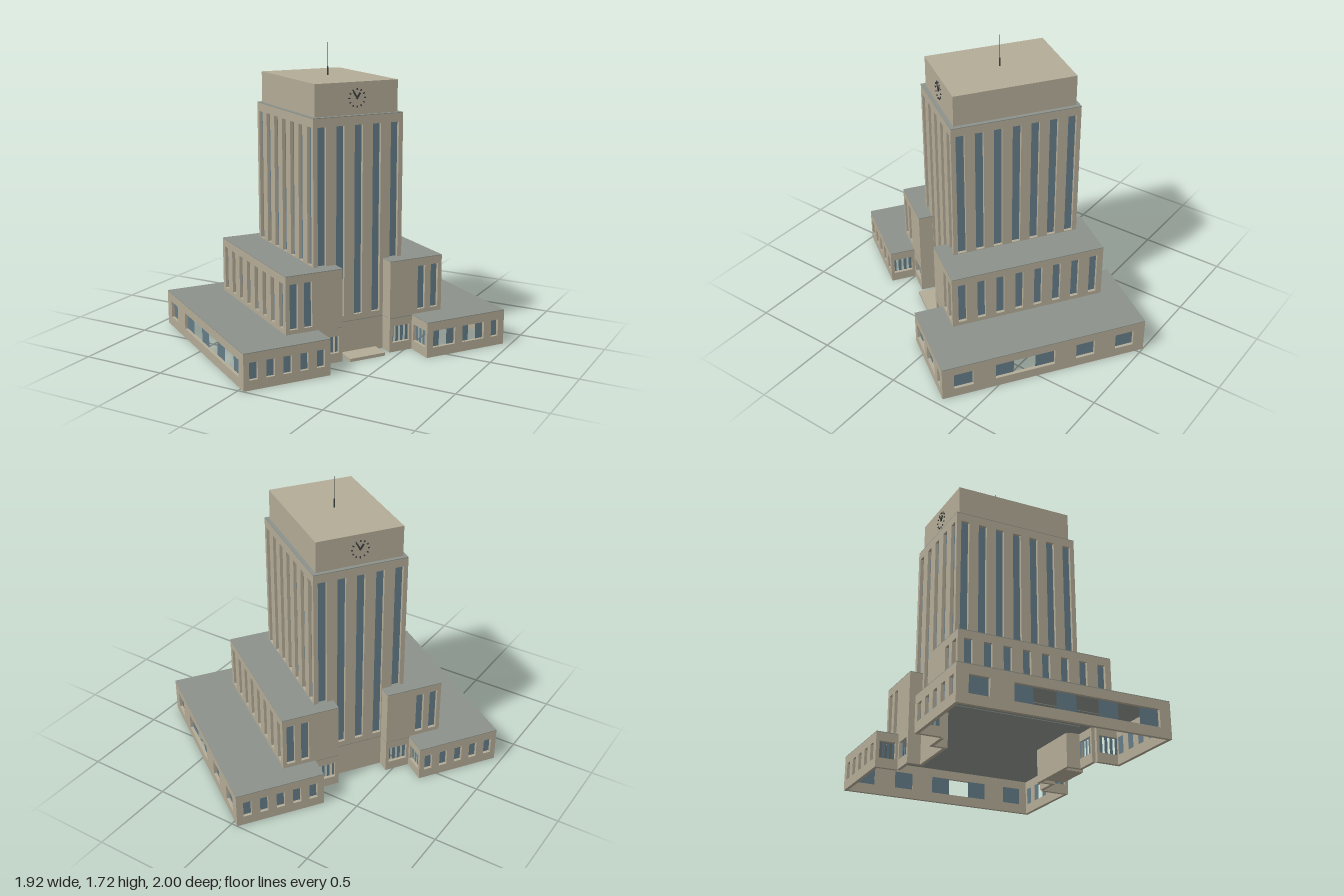
import * as THREE from 'three';

const mat = (name, color, side = THREE.FrontSide) => {
  const m = new THREE.MeshStandardMaterial({ color, side });
  m.name = name;
  return m;
};

export function createModel() {
  const stone = mat('stone', 0xb3ab97, THREE.DoubleSide);
  const roofGrey = mat('roofGrey', 0x8b928a);
  const glass = mat('glass', 0x647c88, THREE.DoubleSide);
  const dark = mat('darkMetal', 0x3b3e3f);

  const model = new THREE.Group();
  model.name = 'towerBuilding';
  // the whole block stands turned on its plot
  const plan = new THREE.Group();
  plan.name = 'turnedPlan';
  plan.rotation.y = -THREE.MathUtils.degToRad(34.5);
  model.add(plan);

  const T = 0.02; // wall thickness and window recess
  const TURN = { '+z': 0, '+x': Math.PI / 2, '-z': Math.PI, '-x': -Math.PI / 2 };

  const add = (parent, name, geo, material, x = 0, y = 0, z = 0) => {
    const m = new THREE.Mesh(geo, material);
    m.name = name;
    m.position.set(x, y, z);
    parent.add(m);
    return m;
  };

  const box = (name, x0, x1, y0, y1, z0, z1, material) =>
    add(plan, name, new THREE.BoxGeometry(x1 - x0, y1 - y0, z1 - z0), material,
      (x0 + x1) / 2, (y0 + y1) / 2, (z0 + z1) / 2);

  const spread = (mid, n, step) => Array.from({ length: n }, (_, i) => mid + (i - (n - 1) / 2) * step);

  // Wall facing `side`, spanning lo..hi, standing at depth `at`.
  // win: centres c, width w, heights y0..y1; open: indices whose pier to the next window is left out
  function wall(name, side, lo, hi, at, y0, y1, win) {
    const g = new THREE.Group();
    g.name = name;
    const flip = side === '+x' || side === '-z';
    const start = flip ? hi : lo;
    g.rotation.y = TURN[side];
    if (side[1] === 'z') g.position.set(start, 0, at);
    else g.position.set(at, 0, start);
    const rect = (P, a, b, c, d) =>
      new P([[a, c], [b, c], [b, d], [a, d]].map(p => new THREE.Vector2(...p)));
    const shape = rect(THREE.Shape, 0, hi - lo, y0, y1);
    if (win) {
      const { c, w, open = [] } = win;
      let from = c[0] - w / 2;
      c.forEach((p, i) => {
        const u = Math.abs(p - start);
        add(g, 'windowPane', new THREE.PlaneGeometry(w, win.y1 - win.y0), glass, u, (win.y0 + win.y1) / 2, -T * 0.9);
        if (open.includes(i)) return;
        const ends = [Math.abs(from - start), Math.abs(p + w / 2 - start)].sort((a, b) => a - b);
        shape.holes.push(rect(THREE.Path, ends[0], ends[1], win.y0, win.y1));
        if (i + 1 < c.length) from = c[i + 1] - w / 2;
      });
    }
    const geo = new THREE.ExtrudeGeometry(shape, { depth: T, bevelEnabled: false });
    geo.translate(0, 0, -T);
    add(g, 'wallFace', geo, stone);
    plan.add(g);
  }

  const H1 = 0.206, H2 = 0.533, H3 = 1.352, H4 = 1.53, SLAB = 0.004;
  const mx0 = -0.467, mx1 = 0.443;                            // middle tier, x
  const tx0 = -0.391, tx1 = 0.36, tz0 = -0.261, tz1 = 0.289;  // tower
  const low = { y0: 0.055, y1: 0.152 };
  const midWin = { w: 0.048, y0: 0.23, y1: 0.485 };

  // front and back halves: low wing and middle tier
  const halves = [
    { s: 1, x0: -0.61, x1: 0.593, wi: 0.303, wo: 0.803, mi: 0.155, mo: 0.495, gaps: [1, 2, 3], endGaps: [] },
    { s: -1, x0: -0.597, x1: 0.611, wi: -0.288, wo: -0.803, mi: -0.145, mo: -0.48, gaps: [2], endGaps: [1, 3] },
  ];
  for (const h of halves) {
    const out = h.s > 0 ? '+z' : '-z', back = h.s > 0 ? '-z' : '+z';
    const sort = (a, b) => [Math.min(a, b), Math.max(a, b)];
    const [w0, w1] = sort(h.wi, h.wo), [m0, m1] = sort(h.mi, h.mo), [g0, g1] = sort(h.mi, h.wi);

    // low wing
    wall('wingLongWall', out, h.x0, h.x1, h.wo, 0, H1 - SLAB,
      { c: spread((h.x0 + h.x1) / 2, 5, 0.24), w: 0.112, ...low, open: h.gaps });
    for (const side of ['+x', '-x'])
      wall('wingEndWall', side, w0, w1, side === '+x' ? h.x1 : h.x0, 0, H1 - SLAB,
        { c: spread((w0 + w1) / 2, 5, 0.097), w: 0.048, ...low, open: side === '+x' ? h.endGaps : [] });
    const slits = (a, b) => ({ c: spread((a + b) / 2, 4, (b - a) / 4.6), w: (b - a) / 8, ...low, open: [0, 1, 2] });
    wall('wingReturnWall', back, mx1, h.x1, h.wi, 0, H1 - SLAB, slits(mx1, h.x1));
    wall('wingReturnWall', back, h.x0, mx0, h.wi, 0, H1 - SLAB, slits(h.x0, mx0));
    box('wingRoof', h.x0, h.x1, H1 - SLAB, H1, w0, w1, roofGrey);

    // ground floor under the middle tier
    wall('lobbySideWall', '+x', g0, g1, mx1, 0, H1, slits(g0, g1));
    wall('lobbySideWall', '-x', g0, g1, mx0, 0, H1, slits(g0, g1));
    box('lobbyCeiling', mx0, mx1, H1 - 2 * SLAB, H1 - SLAB, m0, m1, roofGrey);

    // middle tier
    wall('middleLongWall', out, mx0, mx1, h.mo, H1, H2 - SLAB,
      { c: spread((mx0 + mx1) / 2, 8, 0.113), ...midWin });
    const endC = [h.mo - h.s * 0.048, h.mo - h.s * 0.133].sort((a, b) => a - b);
    wall('middleEndWall', '+x', m0, m1, mx1, H1, H2 - SLAB, { c: endC, ...midWin });
    wall('middleEndWall', '-x', m0, m1, mx0, H1, H2 - SLAB, { c: endC, ...midWin });
    wall('middleReturnWall', back, tx1 - T, mx1, h.mi, 0, H2 - SLAB);
    wall('middleReturnWall', back, mx0, tx0 + T, h.mi, 0, H2 - SLAB);
    box('middleRoof', mx0, mx1, H2 - SLAB, H2, m0, m1, roofGrey);

    // tower long face
    wall('towerLongWall', out, tx0, tx1, h.s > 0 ? tz1 : tz0, H1, H3 - SLAB,
      { c: spread((tx0 + tx1) / 2, 7, 0.108), w: 0.05, y0: H2 + 0.004, y1: 1.3 });
  }

  // tower end faces, with plain entrance walls below
  for (const [side, x] of [['+x', tx1], ['-x', tx0]]) {
    wall('towerEndWall', side, tz0, tz1, x, H1, H3 - SLAB,
      { c: spread((tz0 + tz1) / 2, 5, 0.112), w: 0.05, y0: 0.23, y1: 1.3 });
    wall('entranceWall', side, -0.145, 0.155, x, 0, H1);
  }
  box('towerCeiling', tx0, tx1, H1 - 3 * SLAB, H1 - 2 * SLAB, tz0, tz1, roofGrey);
  box('towerRoof', tx0, tx1, H3 - SLAB, H3, tz0, tz1, roofGrey);

  // crown, entrance step and mast
  const cx0 = -0.369, cx1 = 0.337, cz0 = -0.238, cz1 = 0.268;
  box('crown', cx0, cx1, H3, H4, cz0, cz1, stone);
  box('entranceStep', tx1, 0.473, 0, 0.018, -0.1, 0.12, stone);
  const px = -0.016, pz = 0.015;
  add(plan, 'mastBase', new THREE.CylinderGeometry(0.004, 0.004, 0.05, 8), dark, px, H4 + 0.025, pz);
  add(plan, 'mast', new THREE.CylinderGeometry(0.0015, 0.002, 0.185, 6), dark, px, H4 + 0.0925, pz);

  // clocks on both crown ends
  for (const [side, x] of [['+x', cx1], ['-x', cx0]]) {
    const clock = new THREE.Group();
    clock.name = 'clock';
    clock.position.set(x, 1.443, (cz0 + cz1) / 2);
    clock.rotation.y = TURN[side];
    const bar = (name, w, r0, r1, angle) => {
      const r = (r0 + r1) / 2;
      const m = add(clock, name, new THREE.BoxGeometry(w, r1 - r0, 0.006), dark,
        Math.sin(angle) * r, Math.cos(angle) * r, 0.002);
      m.rotation.z = -angle;
    };
    for (let i = 0; i < 12; i++) bar('hourMark', 0.006, 0.043, 0.053, i * Math.PI / 6);
    bar('minuteHand', 0.008, -0.006, 0.042, -0.55);
    bar('hourHand', 0.01, -0.006, 0.032, 0.6);
    plan.add(clock);
  }
  return model;
}
